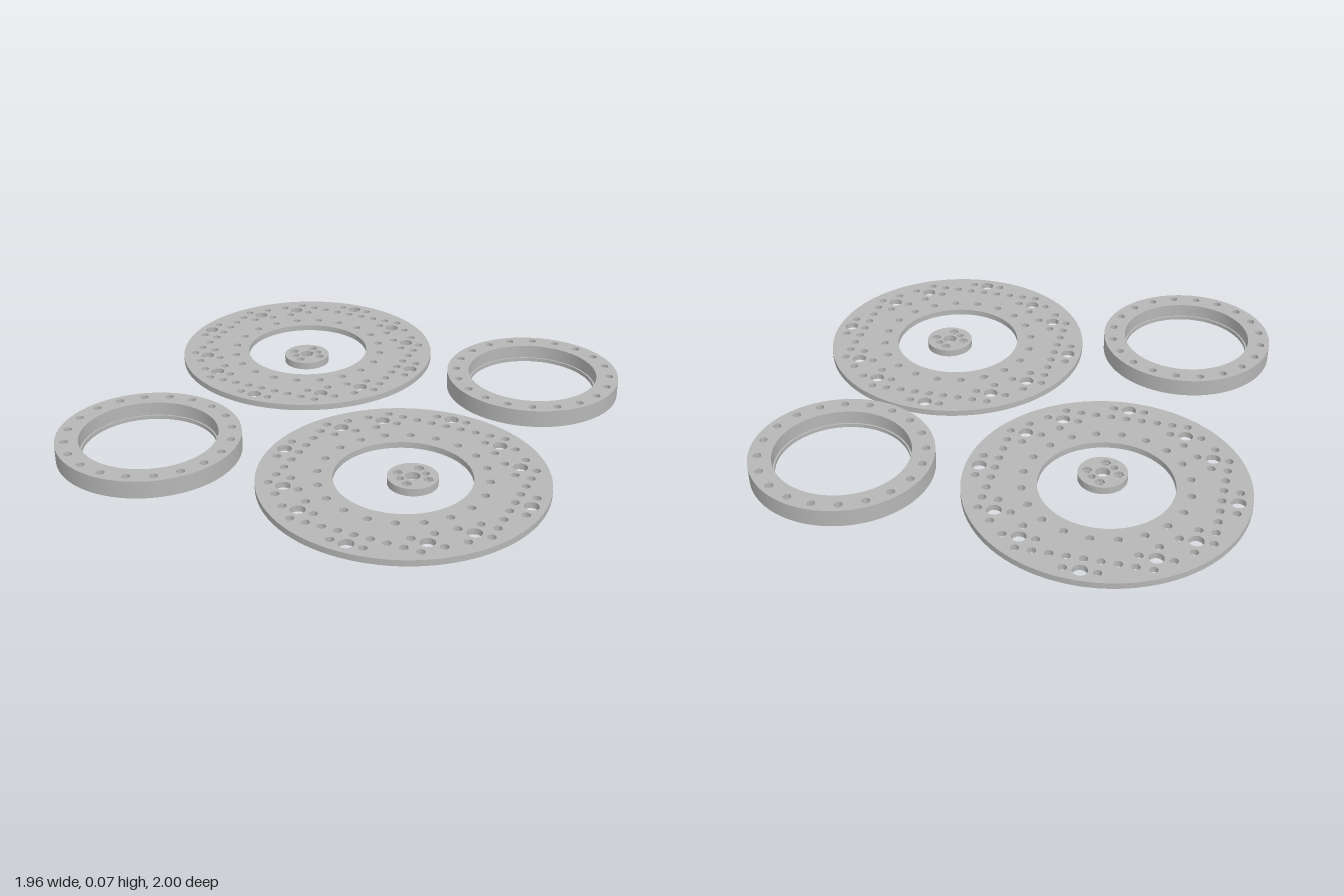
import * as THREE from 'three';
import { toCreasedNormals } from 'three/addons/utils/BufferGeometryUtils.js';

const grey = new THREE.MeshStandardMaterial({ color: 0xb6b6b6 });
grey.name = 'grey metal';

// Points of a regular polygon or circle in plan (x, z), drawn as (x, -z)
function circle(x, z, r, n) {
  return Array.from({ length: n }, (_, i) => {
    const a = (i / n) * Math.PI * 2;
    return new THREE.Vector2(x + r * Math.cos(a), -z + r * Math.sin(a));
  });
}

// Flat round plate from y0 to y1; holes are [x, z, radius, sides]
function plate(name, radius, y0, y1, holes) {
  const shape = new THREE.Shape(circle(0, 0, radius, 96));
  shape.holes = holes.map(([x, z, r, n = 24]) => new THREE.Path(circle(x, z, r, n)));
  const geo = new THREE.ExtrudeGeometry(shape, { depth: y1 - y0, bevelEnabled: false });
  geo.rotateX(-Math.PI / 2);
  geo.translate(0, y0, 0);
  const mesh = new THREE.Mesh(toCreasedNormals(geo, 0.6), grey);
  mesh.name = name;
  return mesh;
}

// Evenly spaced bolt holes around a circle
function boltCircle(count, radius, r, sides = 24) {
  return Array.from({ length: count }, (_, i) => {
    const a = (i / count) * Math.PI * 2;
    return [radius * Math.cos(a), radius * Math.sin(a), r, sides];
  });
}

// All mirrored and swapped copies of a grid position
function symmetric(i, j) {
  const set = new Map();
  for (const [a, b] of [[i, j], [j, i]])
    for (const s of [1, -1])
      for (const t of [1, -1]) set.set(`${a * s + 0},${b * t + 0}`, [a * s, b * t]);
  return [...set.values()];
}

// Large perforated disc
function makeDisc() {
  const pitch = 0.0632;
  const holes = [[0, 0, 0.267, 96], ...boltCircle(20, 0.328, 0.0165)];
  const add = (list, r) => {
    for (const [i, j] of list)
      for (const [a, b] of symmetric(i, j)) holes.push([a * pitch, b * pitch, r]);
  };
  add([[0, 8], [4, 6]], 0.029);
  add([[1, 8], [0, 7], [1, 7], [2, 7], [3, 7], [4, 7], [3, 6], [5, 6], [4, 5]], 0.0165);
  return plate('perforatedDisc', 0.56, 0, 0.025, holes);
}

// Tall ring with a small lip at the bottom of its bore
function makeRing() {
  const group = new THREE.Group();
  group.name = 'spacerRing';
  const bolts = boltCircle(20, 0.328, 0.0165);
  group.add(
    plate('ringLip', 0.365, 0, 0.016, [[0, 0, 0.266, 96], ...bolts]),
    plate('ringBody', 0.365, 0.016, 0.072, [[0, 0, 0.273, 96], ...bolts])
  );
  return group;
}

// Small hub with hexagonal nut recesses
function makeHub() {
  const group = new THREE.Group();
  group.name = 'hub';
  const common = [[0, 0, 0.029, 32], [0.037, -0.037, 0.0155], [-0.037, 0.037, 0.0155]];
  group.add(
    plate('hubBase', 0.098, 0, 0.015, [...common, ...boltCircle(4, 0.063, 0.0145)]),
    plate('hubTop', 0.098, 0.015, 0.031, [...common, ...boltCircle(4, 0.063, 0.021, 6)])
  );
  return group;
}

export function createModel() {
  const model = new THREE.Group();
  model.name = 'discAndRingSet';
  const place = (part, x, z) => {
    part.position.set(x, 0, z);
    model.add(part);
  };
  place(makeDisc(), -0.423, -0.439);
  place(makeDisc(), 0.421, 0.435);
  place(makeRing(), 0.609, -0.542);
  place(makeRing(), -0.581, 0.632);
  place(makeHub(), -0.397, -0.378);
  place(makeHub(), 0.456, 0.425);
  return model;
}
